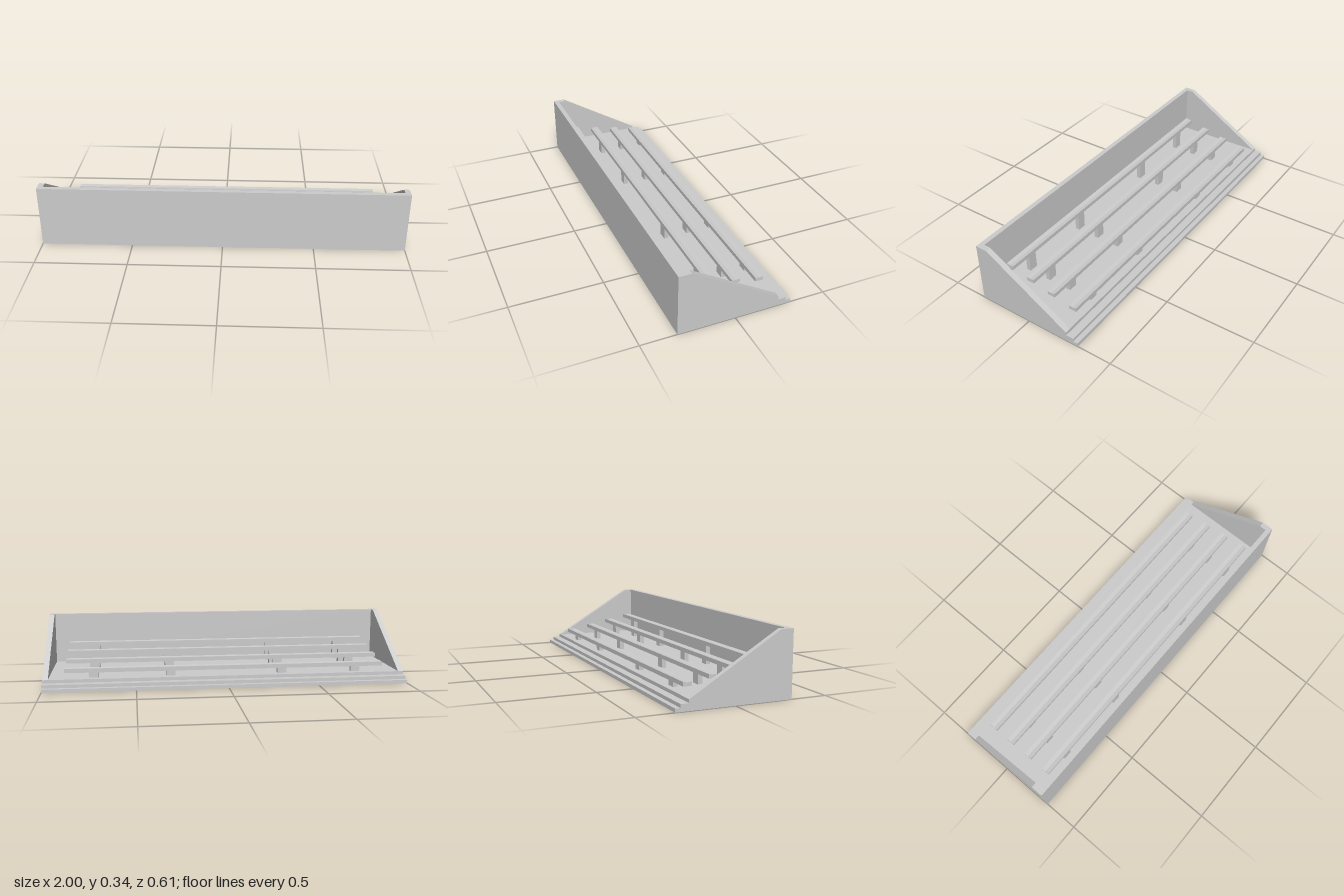
import * as THREE from 'three';

const material = new THREE.MeshStandardMaterial({ color: 0xcccccc, flatShading: true });

// Extrudes a [z, y] side profile along x, centred on the given x.
function slab(name, profile, width, x = 0) {
  const shape = new THREE.Shape(profile.map(([z, y]) => new THREE.Vector2(z, y)));
  const geometry = new THREE.ExtrudeGeometry(shape, { depth: width, bevelEnabled: false });
  geometry.rotateY(-Math.PI / 2);
  geometry.translate(x + width / 2, 0, 0);
  const mesh = new THREE.Mesh(geometry, material);
  mesh.name = name;
  return mesh;
}

export function createModel() {
  const model = new THREE.Group();
  model.name = 'grandstand';

  const front = 0.307, back = -0.307, top = 0.343, floor = 0.055;
  const wall = 0.03;

  // Floor with the steps along the open back edge
  model.add(slab('steppedFloor', [
    [back, 0], [front, 0], [front, floor], [-0.238, floor],
    [-0.238, 0.037], [-0.281, 0.037], [-0.281, 0.019], [back, 0.019],
  ], 2));

  // Tall wall along the front
  model.add(slab('frontWall', [
    [0.28, floor], [front, floor], [front, top], [0.28, top],
  ], 2 - 2 * wall));

  // Sloping side walls
  for (const side of [-1, 1]) {
    model.add(slab(side > 0 ? 'leftWall' : 'rightWall', [
      [-0.238, floor], [front, floor], [front, top], [0.24, top],
    ], wall, side * (1 - wall / 2)));
  }

  // Four benches, each row higher than the one behind it
  for (let row = 0; row < 4; row++) {
    const z = -0.19 + row * 0.133;
    const y = 0.085 + row * 0.026;
    const bench = new THREE.Group();
    bench.name = `bench${row + 1}`;

    // Plank with a slightly dished top
    bench.add(slab('benchSeat', [
      [z - 0.022, y], [z + 0.022, y], [z + 0.022, y + 0.022],
      [z, y + 0.019], [z - 0.022, y + 0.022],
    ], 1.77));

    // Posts down to the floor
    for (const x of [-0.73, -0.31, 0.31, 0.73]) {
      const height = y - floor;
      const leg = new THREE.Mesh(new THREE.BoxGeometry(0.05, height, 0.025), material);
      leg.position.set(x, floor + height / 2, z);
      leg.name = 'benchLeg';
      bench.add(leg);
    }
    model.add(bench);
  }

  return model;
}
